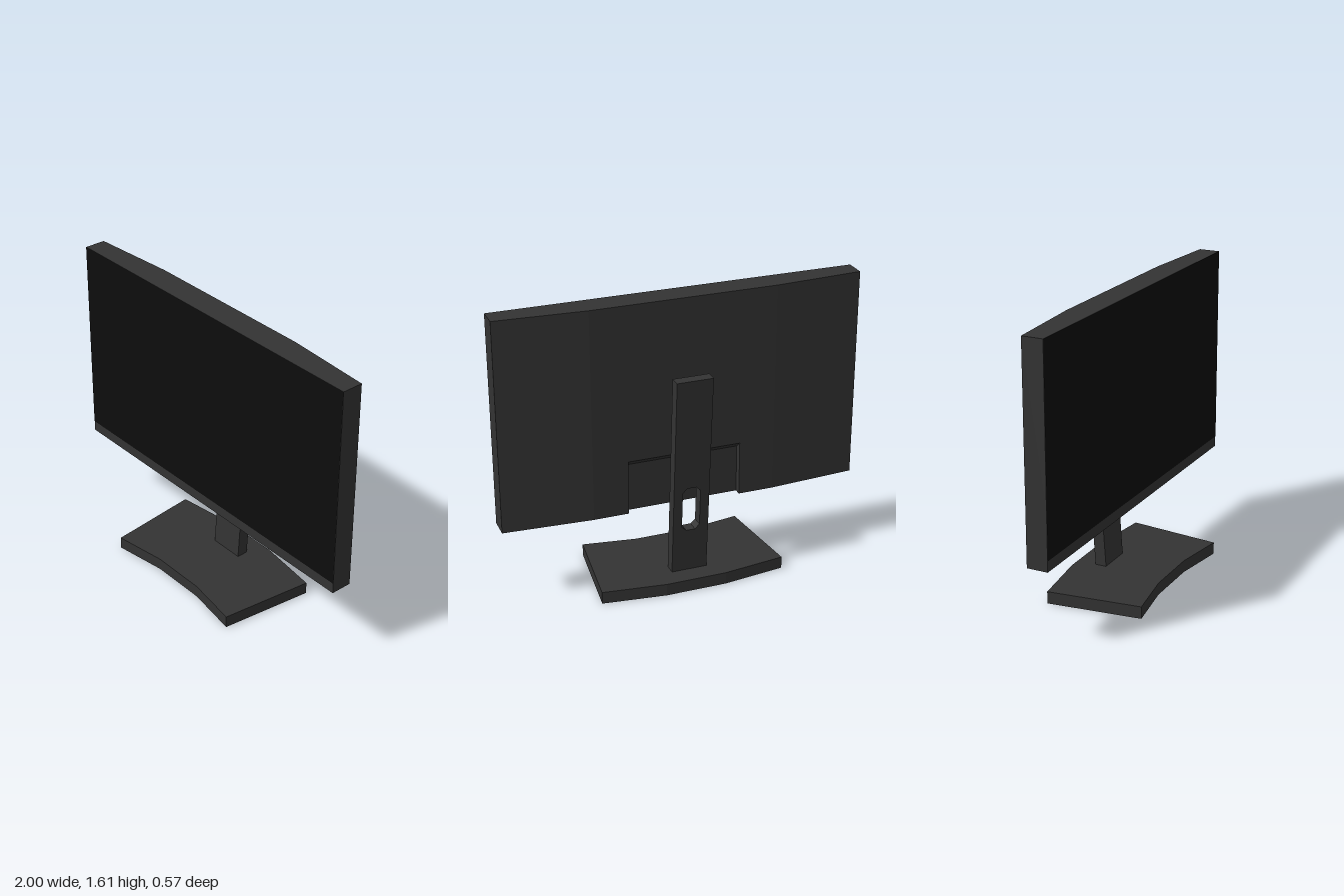
import * as THREE from 'three';

const casing = new THREE.MeshStandardMaterial({ color: 0x333333 });
const glass = new THREE.MeshStandardMaterial({ color: 0x0d0d0d });

const polygon = (pts) => new THREE.Shape(pts.map(([a, b]) => new THREE.Vector2(a, b)));
const extrude = (shape, depth) => new THREE.ExtrudeGeometry(shape, { depth, bevelEnabled: false });

// Rectangle with cut corners
function cutRect(x0, y0, x1, y1, c) {
  return [[x0 + c, y0], [x1 - c, y0], [x1, y0 + c], [x1, y1 - c],
    [x1 - c, y1], [x0 + c, y1], [x0, y1 - c], [x0, y0 + c]];
}

// Upright prism: right half of an [x, z] plan, running front to back, mirrored in x
function prism(half, y0, y1) {
  const right = half.map(([x, z]) => [x, -z]);
  const left = half.map(([x, z]) => [-x, -z]).reverse();
  return extrude(polygon([...right, ...left]), y1 - y0).rotateX(-Math.PI / 2).translate(0, y0, 0);
}

export function createModel() {
  const model = new THREE.Group();
  model.name = 'monitor';
  const add = (name, geometry, material = casing, parent = model) => {
    const mesh = new THREE.Mesh(geometry, material);
    mesh.name = name;
    parent.add(mesh);
    return mesh;
  };

  // Housing: flat front, faceted back, shallow recess low on the back
  const housing = new THREE.Group();
  housing.name = 'housing';
  model.add(housing);
  const side = [[1, 0.045], [1, -0.072], [0.51, -0.105]];
  add('upperHousing', prism(side, 0.74, 1.61), casing, housing);
  add('lowerHousing', prism([...side, [0.315, -0.105], [0.315, -0.065]], 0.435, 0.74), casing, housing);

  // Sloping upper edge of the recess
  add('recessSlope', extrude(polygon([[0.065, 0.705], [0.105, 0.74], [0.065, 0.74]]), 0.63)
    .rotateY(Math.PI / 2).translate(-0.315, 0, 0), casing, housing);

  // Screen fills the front above the lower bezel
  add('screen', new THREE.PlaneGeometry(2, 1.115).translate(0, 1.0525, 0.0465), glass);

  // Neck: slotted post leaning backwards
  const post = polygon([[-0.1, 0.06], [0.1, 0.06], [0.1, 1.213], [-0.1, 1.213]]);
  post.holes.push(polygon(cutRect(-0.05, 0.32, 0.05, 0.58, 0.025)));
  const neck = extrude(post, 0.064);
  const p = neck.attributes.position;
  for (let i = 0; i < p.count; i++) {
    p.setZ(i, p.getZ(i) - 0.175 - (p.getY(i) - 0.068) * 0.069);
  }
  neck.computeVertexNormals();
  add('neck', neck);

  // Mount joining the housing to the neck
  add('mount', extrude(polygon(cutRect(-0.045, 0.955, 0.045, 1.088, 0.02)), 0.1).translate(0, 0, -0.2));

  // Base: bent slab, wider at the back
  add('base', prism([[0.16, 0.237], [0.46, 0.283], [0.52, -0.24], [0.17, -0.285]], 0, 0.068));

  return model;
}
